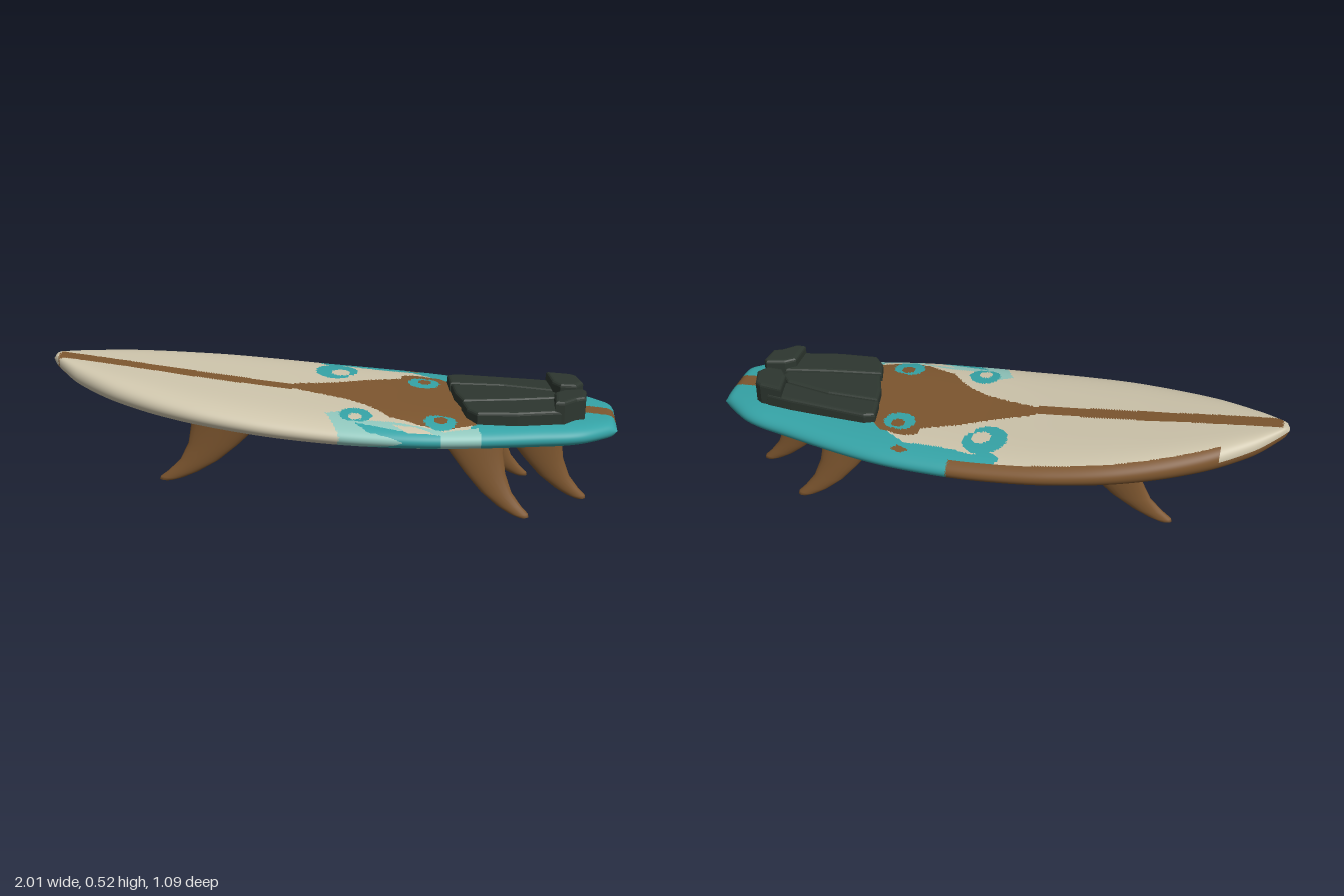
import * as THREE from 'three';

const mat = (name, color) => {
  const m = new THREE.MeshStandardMaterial({ color });
  m.name = name;
  return m;
};

// Smooth curve through [position, value] pairs
function curve(points) {
  const slope = (i) => {
    const a = points[Math.max(i - 1, 0)], b = points[Math.min(i + 1, points.length - 1)];
    return (b[1] - a[1]) / (b[0] - a[0]);
  };
  return (u) => {
    let i = 0;
    while (i < points.length - 2 && u > points[i + 1][0]) i++;
    const [u0, y0] = points[i], [u1, y1] = points[i + 1];
    const d = u1 - u0, t = (u - u0) / d, t2 = t * t, t3 = t2 * t;
    return (2 * t3 - 3 * t2 + 1) * y0 + (t3 - 2 * t2 + t) * d * slope(i)
      + (3 * t2 - 2 * t3) * y1 + (t3 - t2) * d * slope(i + 1);
  };
}

function inside(poly, x, z) {
  let hit = false;
  poly.forEach(([ax, az], i) => {
    const [bx, bz] = poly[(i + 1) % poly.length];
    if ((az > z) !== (bz > z) && x < ((bx - ax) * (z - az)) / (bz - az) + ax) hit = !hit;
  });
  return hit;
}

// Board runs along local x (nose at -x) and is turned on the ground plane
const YAW = 0.4168, CX = -0.0175, CZ = -0.025, NOSE = -1.075, TAIL = 1.07;
const width = curve([[-1.075, 0.012], [-1.045, 0.045], [-0.96, 0.115], [-0.784, 0.215], [-0.518, 0.305],
  [-0.275, 0.345], [-0.05, 0.358], [0.15, 0.357], [0.4, 0.335], [0.78, 0.25], [0.94, 0.206], [1.07, 0.112]]);
const bottomY = curve([[-1.075, 0.485], [-0.95, 0.42], [-0.7, 0.365], [-0.4, 0.33], [-0.1, 0.305],
  [0.2, 0.293], [0.8, 0.288], [1.07, 0.303]]);
const topY = curve([[-1.075, 0.525], [-0.8, 0.495], [-0.5, 0.46], [-0.1, 0.42], [0.2, 0.402],
  [0.6, 0.387], [0.9, 0.379], [1.07, 0.366]]);
const centre = (u) => -0.018 * (1 - (u / 1.08) ** 2);

// Painted areas of the deck, as x,z outlines
const CREAM = 0, BROWN = 1, TEAL = 2, PALE = 3, DARK = 4;
const AREAS = [
  [CREAM, [[0.1, 0.32], [0.18, 0.36], [0.23, 0.41], [0.14, 0.38]]],
  [TEAL, [[-0.03, 0.27], [0.05, 0.32], [0.13, 0.37], [0.25, 0.42], [0.24, 0.45], [0.1, 0.39], [0, 0.33]]],
  [BROWN, [[-0.19, -0.09], [-0.14, -0.11], [0.02, -0.1], [0.14, -0.105], [0.29, -0.095], [0.3, -0.13],
    [0.36, -0.12], [0.44, -0.06], [0.46, 0], [0.5, 0.06], [0.48, 0.38], [0.39, 0.4], [0.27, 0.4], [0.2, 0.355],
    [0.16, 0.31], [0.11, 0.265], [0.09, 0.2], [0.06, 0.135], [0, 0.065], [-0.075, 0.005], [-0.15, -0.05]]],
  [PALE, [[-0.11, 0.18], [-0.05, 0.18], [0.02, 0.27], [0.12, 0.31], [0.27, 0.41], [0.4, 0.42],
    [0.34, 0.8], [0, 0.6], [-0.1, 0.32]]],
  [BROWN, [[0.34, -0.21], [0.38, -0.21], [0.41, -0.18], [0.38, -0.17]]],
  [TEAL, [[0.03, -0.34], [0.1, -0.4], [0.3, -0.6], [1.5, -0.3], [1.5, 1], [0.3, 1], [0.33, 0.44], [0.39, 0.4],
    [0.48, 0.38], [0.5, 0.06], [0.46, 0], [0.4, -0.1], [0.36, -0.16], [0.3, -0.19], [0.2, -0.24], [0.13, -0.29], [0.06, -0.3]]],
];
// Wave curls: x, z, radius, eye colour, turn
const CURLS = [[0.075, -0.205, 0.1, CREAM, 1], [0.365, -0.04, 0.07, BROWN, -1],
  [-0.01, 0.23, 0.07, CREAM, 2], [0.285, 0.335, 0.07, BROWN, -1]];

function paint(u, y, v) {
  const w = width(u), off = v - centre(u), f = off / w;
  const low = y < (topY(u) + bottomY(u)) / 2;
  if (low && Math.abs(f) < 0.86 && u < 1.045) return u > 0.38 ? DARK : BROWN;
  if (u > 0.88 && Math.abs(v) < 0.035) return BROWN;
  if (off < -(w - 0.04) && u > -0.85 && u < 0.1) return BROWN;
  if (low && f < 0 && u < 0) return BROWN;
  if (u > -1.05 && u < -0.15 && Math.abs(v - 0.01) < 0.03) return BROWN;
  const c = Math.cos(YAW), s = Math.sin(YAW);
  const x = CX + u * c - v * s, z = CZ + u * s + v * c;
  for (const [cx, cz, R, eye, turn] of CURLS) {
    const r = Math.hypot(x - cx, z - cz);
    const t = (((Math.atan2(z - cz, x - cx) - turn) / (2 * Math.PI)) + 2) % 1;
    if (r < 0.36 * R) return eye;
    if (r < R * (0.45 + 0.55 * Math.sin(t * Math.PI))) return TEAL;
  }
  const area = AREAS.find(([, poly]) => inside(poly, x, z));
  return area ? area[0] : CREAM;
}

// Rounded board body, each face given its paint
function boardGeometry() {
  const N = 220, M = 200, pos = [], faces = [[], [], [], [], []];
  for (let i = 0; i <= N; i++) {
    const u = NOSE + ((TAIL - NOSE) * i) / N;
    const e = Math.min(1, (TAIL - u) / 0.035, (u - NOSE) / 0.02);
    const h = ((topY(u) - bottomY(u)) / 2) * Math.sqrt(Math.max(0, 1 - (1 - e) ** 2));
    const mid = (topY(u) + bottomY(u)) / 2;
    for (let k = 0; k < M; k++) {
      const a = (k / M) * 2 * Math.PI, f = Math.cos(a);
      const g = Math.sqrt(Math.max(0, 1 - Math.abs(f) ** 5)) * Math.sign(Math.sin(a));
      pos.push(u, mid + h * g, centre(u) + width(u) * f);
    }
  }
  const add = (...tri) => {
    const [x, y, z] = [0, 1, 2].map((d) => tri.reduce((sum, p) => sum + pos[p * 3 + d], 0) / 3);
    faces[paint(x, y, z)].push(...tri);
  };
  for (let i = 0; i < N; i++) for (let k = 0; k < M; k++) {
    const a = i * M + k, b = i * M + ((k + 1) % M);
    add(a, a + M, b);
    add(b, a + M, b + M);
  }
  const geo = new THREE.BufferGeometry();
  geo.setAttribute('position', new THREE.Float32BufferAttribute(pos, 3));
  geo.setIndex(faces.flat());
  let start = 0;
  faces.forEach((list, m) => { geo.addGroup(start, list.length, m); start += list.length; });
  geo.computeVertexNormals();
  return geo;
}

// Swept fin lofted from lens sections; dir is the sweep direction along the board
const FIN_ROWS = [[0, 0.36, 0.34], [0.03, 0.358, 0.3], [0.09, 0.352, 0.25], [0.17, 0.366, 0.17], [0.25, 0.4, 0.1],
  [0.33, 0.448, 0.05], [0.39, 0.483, 0.022], [0.43, 0.487, 0.01], [0.46, 0.47, 0.005]];
function finGeometry(scale, dir, cant) {
  const K = 20, pos = [], idx = [];
  FIN_ROWS.forEach(([lead, trail, y], i) => {
    const half = (trail - lead) / 2, thick = i === FIN_ROWS.length - 1 ? 0.004 : 0.012 + 0.024 * half / 0.18;
    for (let k = 0; k < K; k++) {
      const a = (k / K) * 2 * Math.PI;
      pos.push(dir * scale * ((lead + trail) / 2 + half * Math.cos(a)), y, thick * Math.sin(a) + cant * (0.3 - y));
    }
    if (i) for (let k = 0; k < K; k++) {
      const a = (i - 1) * K + k, b = (i - 1) * K + ((k + 1) % K);
      if (dir > 0) idx.push(a, b, a + K, b, b + K, a + K);
      else idx.push(a, a + K, b, b, a + K, b + K);
    }
  });
  const geo = new THREE.BufferGeometry();
  geo.setAttribute('position', new THREE.Float32BufferAttribute(pos, 3));
  geo.setIndex(idx);
  geo.computeVertexNormals();
  return geo;
}

// Soft-edged slab from a ground outline
function slab(outline, top, depth) {
  const shape = new THREE.Shape(outline.map(([x, z]) => new THREE.Vector2(x, z)));
  const b = 0.013;
  const geo = new THREE.ExtrudeGeometry(shape, { depth: depth - 2 * b, bevelSize: b, bevelThickness: b, bevelOffset: -b, bevelSegments: 3 });
  return geo.rotateX(Math.PI / 2).translate(0, top - b, 0);
}

export function createModel() {
  const cream = mat('cream', 0xcdc4ab), brown = mat('woodBrown', 0x7d562f), teal = mat('teal', 0x35a3a6);
  const pale = mat('paleTeal', 0x90c6bc), dark = mat('darkGreen', 0x2d362f);
  const surfboard = new THREE.Group();
  surfboard.name = 'surfboard';
  surfboard.rotation.y = -YAW;
  surfboard.position.set(CX, 0, CZ);
  const add = (name, geo, material) => {
    const mesh = new THREE.Mesh(geo, material);
    mesh.name = name;
    surfboard.add(mesh);
  };

  add('board', boardGeometry(), [cream, brown, teal, pale, dark]);

  // Fins: one forward, one at the tail and a canted pair
  add('noseFin', finGeometry(1, -1, 0).translate(-0.2, 0, 0), brown);
  add('tailFin', finGeometry(0.77, 1, 0).translate(0.605, 0, 0), brown);
  for (const side of [-1, 1]) {
    add(side > 0 ? 'leftFin' : 'rightFin', finGeometry(0.77, 1, side * 0.17).translate(0.385, 0, side * 0.145), brown);
  }

  // Grip pad strips and raised kick blocks
  const strips = [
    [[0.43, -0.18], [0.47, -0.195], [0.59, -0.185], [0.77, -0.17], [0.87, -0.155], [0.9, -0.1], [0.85, -0.05], [0.65, -0.088], [0.445, -0.088]],
    [[0.45, -0.084], [0.65, -0.084], [0.83, -0.05], [0.865, -0.01], [0.86, 0.022], [0.7, 0.058], [0.5, 0.092], [0.465, 0]],
    [[0.495, 0.098], [0.7, 0.064], [0.87, 0.028], [0.9, 0.09], [0.86, 0.165], [0.7, 0.202], [0.555, 0.215], [0.515, 0.17]],
  ];
  strips.forEach((s) => add('gripStrip', slab(s, 0.428, 0.07), dark));
  const kicks = [
    [[0.81, -0.16], [0.9, -0.148], [0.925, -0.13], [0.947, -0.06], [0.92, -0.018], [0.86, -0.02], [0.83, -0.06]],
    [[0.87, 0.03], [0.94, 0.012], [0.955, 0.03], [0.948, 0.104], [0.915, 0.12], [0.87, 0.165], [0.835, 0.165], [0.835, 0.06]],
  ];
  kicks.forEach((k) => add('kickBlock', slab(k, 0.463, 0.1), dark));

  const model = new THREE.Group();
  model.add(surfboard);
  return model;
}
